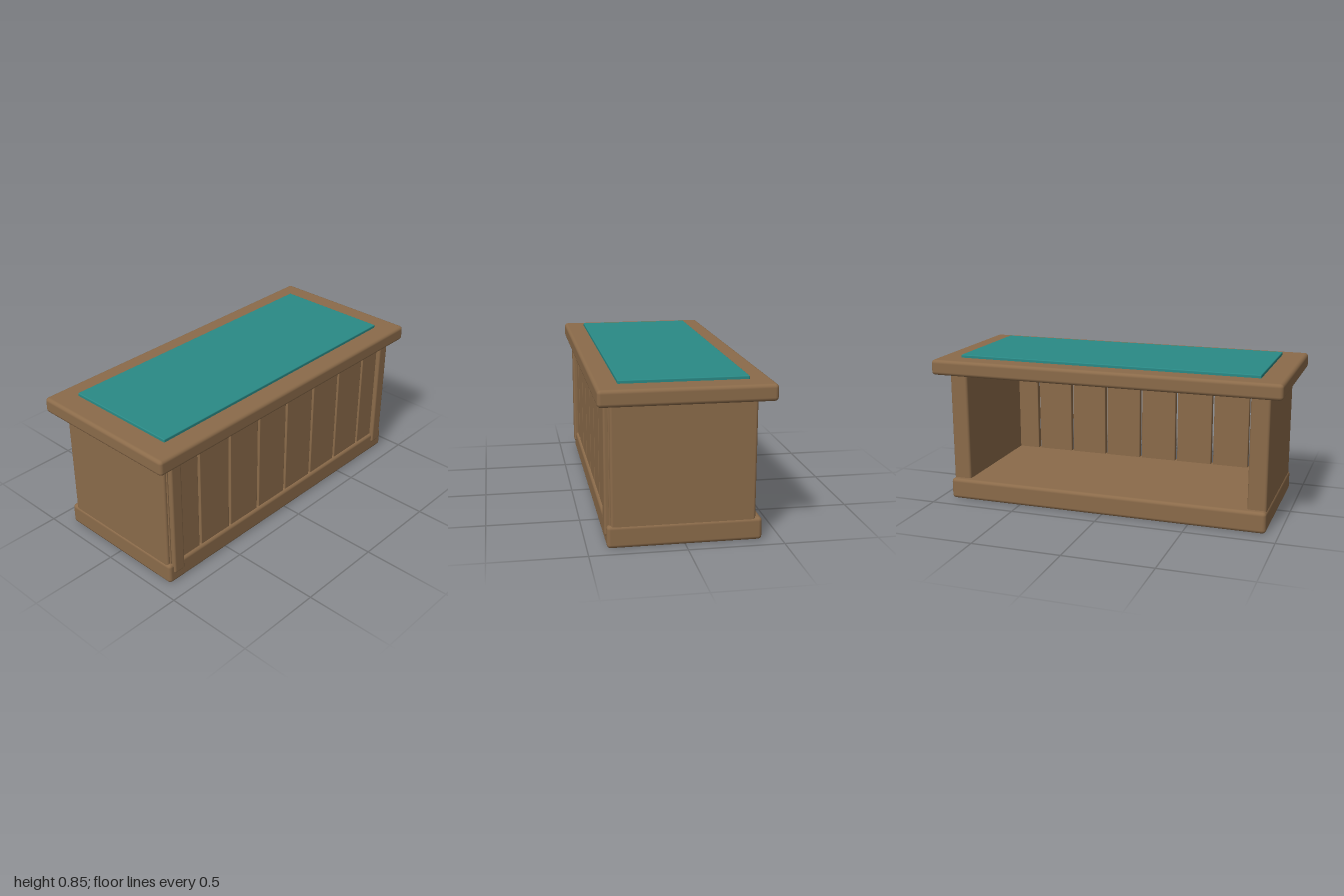
import * as THREE from 'three';
import { RoundedBoxGeometry } from 'three/addons/geometries/RoundedBoxGeometry.js';

export function createModel() {
  const model = new THREE.Group();
  model.name = 'counter';
  const wood = new THREE.MeshStandardMaterial({ name: 'brown wood', color: 0x8b6b4a });
  const teal = new THREE.MeshStandardMaterial({ name: 'teal inlay', color: 0x2a8a86 });

  // Box with softened edges, given by its min and max corners
  function slab(name, [x0, y0, z0], [x1, y1, z1], radius, material = wood) {
    const geometry = new RoundedBoxGeometry(x1 - x0, y1 - y0, z1 - z0, 2, radius);
    const mesh = new THREE.Mesh(geometry, material);
    mesh.position.set((x0 + x1) / 2, (y0 + y1) / 2, (z0 + z1) / 2);
    mesh.name = name;
    model.add(mesh);
  }

  // Base, top and inlaid mat
  slab('base', [-0.93, 0, -0.4], [0.93, 0.12, 0.4], 0.02);
  slab('counterTop', [-1, 0.745, -0.447], [1, 0.833, 0.447], 0.02);
  slab('inlay', [-0.865, 0.82, -0.332], [0.865, 0.85, 0.332], 0.005, teal);

  // End walls and front corner posts
  for (const [side, s] of [['left', 1], ['right', -1]]) {
    const span = (a, b) => (s > 0 ? [a, b] : [-b, -a]);
    const [w0, w1] = span(0.82, 0.925);
    slab(side + 'Wall', [w0, 0.09, -0.365], [w1, 0.747, 0.38], 0.014);
    const [p0, p1] = span(0.827, 0.9);
    slab(side + 'FrontPost', [p0, 0.06, 0.35], [p1, 0.75, 0.41], 0.012);
  }

  // Front planks with narrow gaps; the back stays open
  const pitch = 0.2286;
  for (let i = 0; i < 8; i++) {
    const x = (i - 3.5) * pitch;
    slab('frontPlank', [x - 0.107, 0.1, 0.35], [x + 0.107, 0.76, 0.386], 0.004);
  }
  return model;
}
